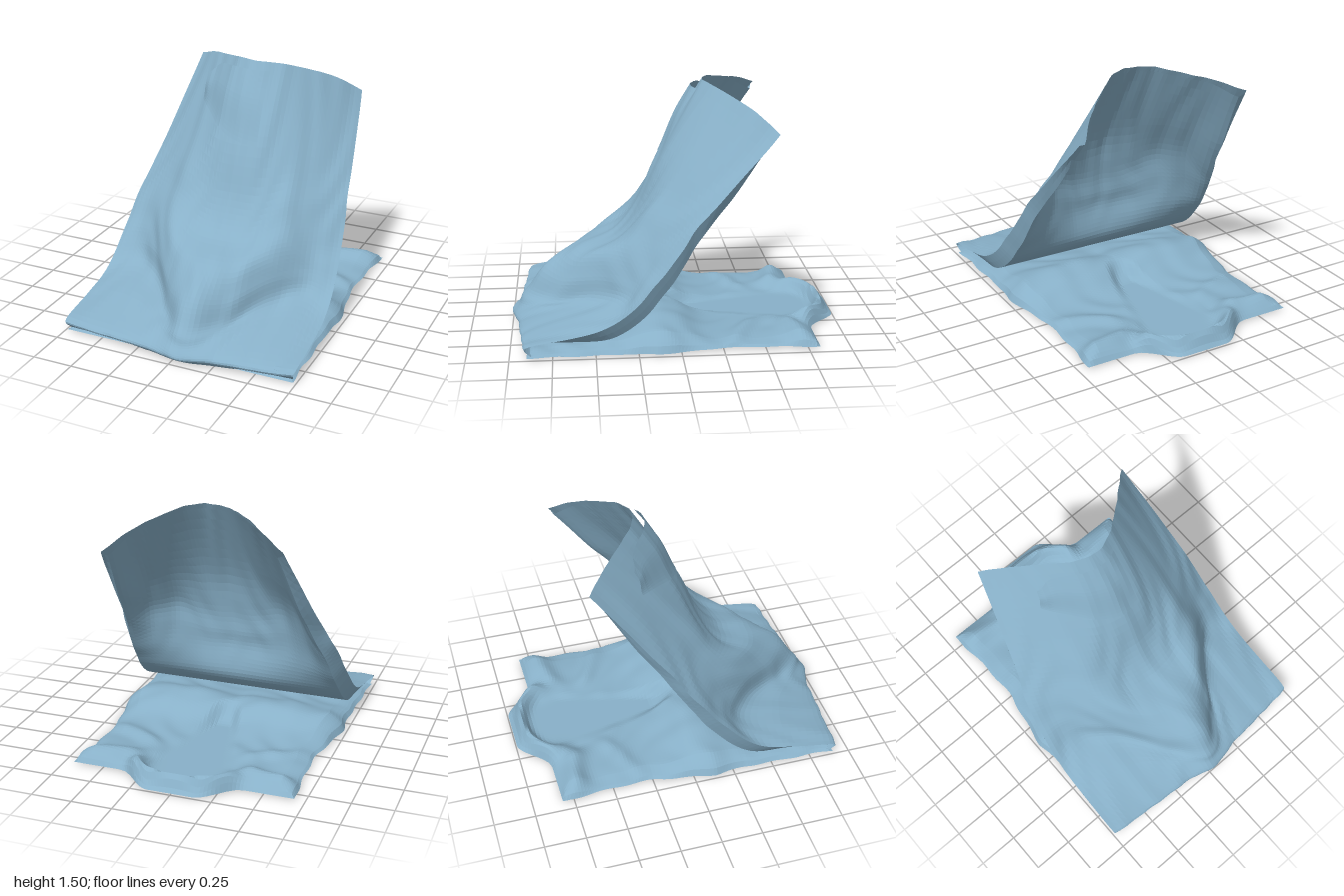
import * as THREE from 'three';

const material = new THREE.MeshStandardMaterial({ color: 0x88b0c8, flatShading: true, side: THREE.DoubleSide });
const { lerp, smoothstep } = THREE.MathUtils;

// Small repeatable crumple
const crumple = (a, b) => Math.sin(a * 17 + Math.sin(b * 11) * 2) * Math.sin(b * 19 + Math.sin(a * 13) * 2);
const bump = (d, w) => Math.exp(-(d * d) / (w * w));

// Surface over a grid; f(s, t) returns a Vector3 for s, t in 0..1
function sheet(name, f, cols, rows) {
  const pos = [], index = [];
  for (let j = 0; j <= rows; j++)
    for (let i = 0; i <= cols; i++) pos.push(...f(i / cols, j / rows).toArray());
  for (let j = 0; j < rows; j++)
    for (let i = 0; i < cols; i++) {
      const a = j * (cols + 1) + i, b = a + cols + 1;
      index.push(a, a + 1, b, a + 1, b + 1, b);
    }
  const g = new THREE.BufferGeometry();
  g.setAttribute('position', new THREE.Float32BufferAttribute(pos, 3));
  g.setIndex(index);
  g.computeVertexNormals();
  const mesh = new THREE.Mesh(g, material);
  mesh.name = name;
  return mesh;
}

// Raised front layer: [z, y] profiles from the centre out to the side edge.
// The fourth point of each lies on the V crease below the hanging belly.
const profiles = [
  [[0.95, 0.015], [1.0, 0.06], [0.96, 0.13], [0.91, 0.21], [0.8, 0.36], [0.6, 0.49], [0.36, 0.58], [0.22, 0.77], [0.07, 1.1], [-0.17, 1.51]],
  [[0.92, 0.015], [0.96, 0.07], [0.84, 0.15], [0.74, 0.2], [0.68, 0.33], [0.55, 0.48], [0.34, 0.59], [0.2, 0.77], [0.04, 1.1], [-0.22, 1.5]],
  [[0.89, 0.015], [0.94, 0.08], [0.7, 0.17], [0.49, 0.25], [0.45, 0.39], [0.38, 0.53], [0.26, 0.66], [0.14, 0.82], [-0.06, 1.1], [-0.33, 1.46]],
  [[0.87, 0.015], [0.92, 0.08], [0.64, 0.17], [0.36, 0.26], [0.27, 0.38], [0.2, 0.51], [0.11, 0.65], [0, 0.81], [-0.18, 1.06], [-0.45, 1.41]],
  [[0.87, 0.015], [0.9, 0.09], [0.63, 0.14], [0.4, 0.21], [0.24, 0.34], [0.12, 0.48], [0, 0.63], [-0.11, 0.78], [-0.32, 1.03], [-0.57, 1.33]],
];
const widths = [0.72, 0.745, 0.745, 0.74, 0.73, 0.715, 0.695, 0.66, 0.61, 0.55];

const columns = [-4, -3, -2, -1, 0, 1, 2, 3, 4].map(k =>
  new THREE.CatmullRomCurve3(profiles[Math.abs(k)].map(([z, y], i) => {
    const u = k / 4;
    return new THREE.Vector3(u * widths[i] + 0.05 * (1 - u * u), y, z);
  }), false, 'catmullrom', 0.5));

function panelPoint(u, v) {
  const row = new THREE.CatmullRomCurve3(columns.map(c => c.getPoint(v)), false, 'catmullrom', 0.5);
  const p = row.getPoint((u + 1) / 2);
  // The left shoulder hangs lower and the top leans slightly to the left
  p.y -= 0.055 * u * Math.abs(u) * smoothstep(v, 0.75, 1);
  p.x += 0.03 * u * u * smoothstep(v, 0.6, 1);
  const n = crumple(u * 0.8, v * 1.1) * 0.006;
  p.z += n;
  p.y = Math.max(0.01, p.y + n * 0.5);
  return p;
}

// Raised back layer: straight across behind the belly, closing up to the front layer
// towards the top, with a thick fold down each side
function backPoint(s, t) {
  const u = 1 - 2 * s, v = t * 0.992, inset = 1 - Math.abs(u);
  const close = smoothstep(v, 0.4, 0.86);
  const p = panelPoint(-1, v).lerp(panelPoint(1, v), (u + 1) / 2);
  p.lerp(panelPoint(u, v), close);
  const fold = smoothstep(inset, 0, 0.07) * (1 - 0.85 * close * smoothstep(inset, 0.09, 0.28));
  const depth = 0.075 * fold * smoothstep(v, 0.1, 0.32) * (1 - 0.6 * smoothstep(v, 0.85, 1));
  p.z -= depth * 0.75;
  p.y = Math.max(0.03, p.y - depth);
  return p;
}

// Part of the back layer standing out in front at the neck
function flapPoint(s, t) {
  const u = lerp(-0.66, 0.16, s);
  const low = lerp(0.925, 0.875, s) - 0.01 * Math.sin(s * Math.PI);
  const high = 0.988 - 0.02 * bump(s, 0.12);
  const p = panelPoint(u, lerp(low, high, t));
  const lift = 0.005 + 0.035 * smoothstep(t, 0, 0.7) + 0.03 * (1 - s) * t;
  p.z += lift * 0.9;
  p.y += lift * 0.15;
  return p;
}

// Flat panel on the ground: side widths by z, back outline by x
const groundWidths = [0.73, 0.72, 0.72, 0.71, 0.73, 0.7, 0.66, 0.66, 0.67, 0.69];
function groundPlan(s, t) {
  const u = s * 2 - 1;
  const back = -0.82 - 0.175 * (1 - smoothstep(Math.abs(u), 0.2, 0.56));
  const k = t * (groundWidths.length - 1), i = Math.min(groundWidths.length - 2, Math.floor(k));
  const x = u * lerp(groundWidths[i], groundWidths[i + 1], k - i) + 0.006 * Math.sin(t * 40 + u);
  return new THREE.Vector3(x, 0.015, lerp(0.9, back, t));
}

function groundTop(s, t) {
  const p = groundPlan(s, t), { x, z } = p, ax = Math.abs(x);
  let h = 0.045 + 0.02 * bump(z - 0.45, 0.25);
  h += 0.115 * bump(z - 0.1, 0.2) * (0.55 + 0.45 * bump(ax - 0.3, 0.3));
  // Shoulder folds and a slanting crease on each side
  h += 0.055 * bump(z + 0.68 + 0.2 * (ax - 0.4), 0.07) * smoothstep(ax, 0.25, 0.4);
  h += 0.02 * bump(z + 0.45 - 0.4 * (ax - 0.3), 0.06) * smoothstep(ax, 0.2, 0.35);
  h += 0.008 * crumple(x * 0.7, z * 0.8);
  // Open neck: the inner layer lies lower, narrowing towards the front
  const d = ax - (0.07 - 0.25 * Math.min(z, 0.2));
  const neck = smoothstep(-z, -0.1, 0.1) * (1 - smoothstep(d, -0.05, 0.03));
  h = lerp(h, 0.035, neck);
  // Rolled collar behind the neck and down its sides
  const ring = Math.hypot(x / 0.29, Math.min(0, z + 0.76) / 0.17) - 1;
  h += 0.08 * bump(ring, 0.22) * smoothstep(-z, 0.62, 0.85);
  const rim = Math.min(1, Math.min(s, 1 - s) * 14, Math.min(t, 1 - t) * 36);
  p.y = lerp(0.02, Math.max(0.03, h), Math.sqrt(rim));
  return p;
}
function groundUnder(s, t) {
  const p = groundPlan(1 - s, t);
  const inside = Math.min(s, 1 - s, t, 1 - t) > 0.001;
  p.y = inside ? 0.016 + 0.004 * crumple(p.x * 0.6, p.z * 0.6) : 0.02;
  return p;
}

export function createModel() {
  const model = new THREE.Group();
  model.name = 'foldedCloth';

  const raised = new THREE.Group();
  raised.name = 'raisedPanel';
  raised.add(
    sheet('raisedFrontLayer', (s, t) => panelPoint(s * 2 - 1, t), 56, 56),
    sheet('raisedBackLayer', backPoint, 56, 50),
    sheet('neckFlap', flapPoint, 16, 14));

  const ground = new THREE.Group();
  ground.name = 'groundPanel';
  ground.add(
    sheet('groundUpperLayer', groundTop, 72, 84),
    sheet('groundUnderLayer', groundUnder, 32, 38));

  model.add(raised, ground);
  return model;
}
